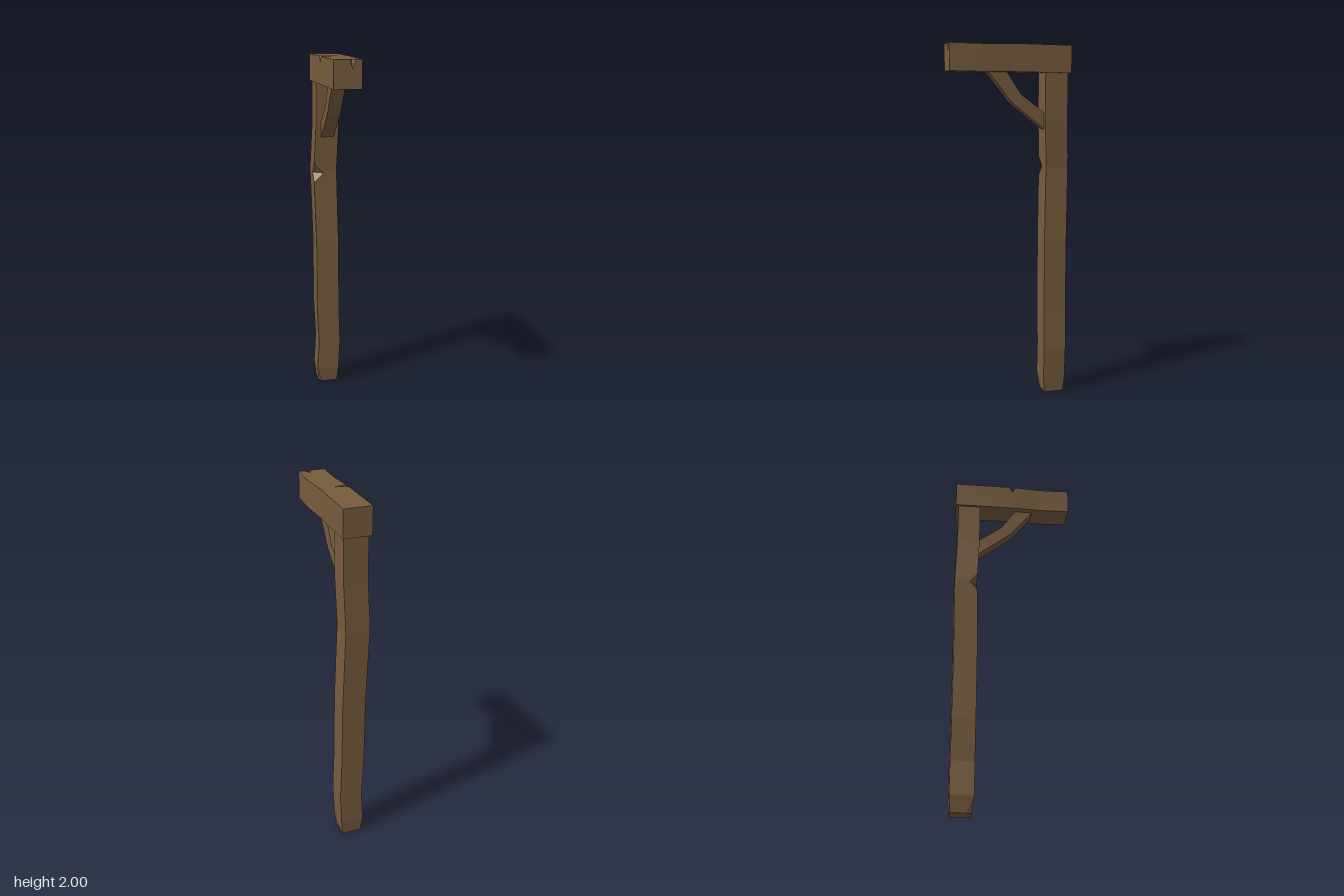
import * as THREE from 'three';

const wood = new THREE.MeshStandardMaterial({ color: 0x775c3d, flatShading: true, roughness: 1 });

// Skins a stack of rings. Each ring is { w, pts: [[u, v], ...] }, counterclockwise about the w axis.
function loft(rings, place) {
  const pos = [];
  const tri = (a, b, c) => {
    const [p, q, r] = [a, b, c].map((k) => new THREE.Vector3(...k));
    if (q.clone().sub(p).cross(r.clone().sub(p)).length() < 1e-8) return; // collapsed corner
    pos.push(...a, ...b, ...c);
  };
  const loops = rings.map(({ w, pts }) => pts.map(([u, v]) => place(u, v, w)));
  for (let i = 0; i < loops.length - 1; i++) {
    const lo = loops[i], hi = loops[i + 1], n = lo.length;
    for (let j = 0; j < n; j++) {
      const k = (j + 1) % n;
      tri(lo[j], lo[k], hi[k]);
      tri(lo[j], hi[k], hi[j]);
    }
  }
  // End caps
  [0, loops.length - 1].forEach((i) => {
    const flat = rings[i].pts.map(([u, v]) => new THREE.Vector2(u, v));
    for (const [a, b, c] of THREE.ShapeUtils.triangulateShape(flat, [])) {
      const l = loops[i];
      if (i === 0) tri(l[a], l[c], l[b]);
      else tri(l[a], l[b], l[c]);
    }
  });
  const geo = new THREE.BufferGeometry();
  geo.setAttribute('position', new THREE.Float32BufferAttribute(pos, 3));
  geo.computeVertexNormals();
  return geo;
}

// Post section; the front corner at -x splits in two where it is chipped by (dx, dz).
function postRing(y, x0, x1, z0, z1, dx = 0, dz = 0) {
  return { w: y, pts: [[z0, x0], [z1 - dz, x0], [z1, x0 + dx], [z1, x1], [z0, x1]] };
}

// Beam section; dx, dy chip the top edge at -x, and split opens a V in the top face.
function beamRing(z, x0, x1, y0, y1, dx = 0, dy = 0, split = 0) {
  const c = 0.025;
  return {
    w: z,
    pts: [[x0, y0], [x1, y0], [x1, y1],
      [c + split, y1], [c, y1 - split * 3.1], [c - split, y1],
      [x0 + dx, y1], [x0, y1 - dy]],
  };
}

export function createModel() {
  const group = new THREE.Group();
  const add = (name, geo) => {
    const mesh = new THREE.Mesh(geo, wood);
    mesh.name = name;
    group.add(mesh);
  };

  // Crooked post with a chipped foot and an axe notch
  add('post', loft([
    postRing(0, -0.055, 0.057, -0.318, -0.205, 0.015, 0.03),
    postRing(0.09, -0.066, 0.066, -0.325, -0.195),
    postRing(0.27, -0.055, 0.075, -0.325, -0.195),
    postRing(0.5, -0.066, 0.068, -0.325, -0.195),
    postRing(0.9, -0.067, 0.065, -0.326, -0.195),
    postRing(1.27, -0.078, 0.056, -0.333, -0.203),
    postRing(1.325, -0.08, 0.054, -0.334, -0.204, 0.058, 0.04),
    postRing(1.38, -0.078, 0.056, -0.333, -0.203),
    postRing(1.6, -0.067, 0.065, -0.326, -0.195),
    postRing(1.855, -0.065, 0.066, -0.325, -0.195),
  ], (z, x, y) => [x, y, z]));

  // Cross beam with a notched top edge and a split front end
  add('beam', loft([
    beamRing(-0.342, -0.077, 0.077, 1.846, 1.996),
    beamRing(-0.02, -0.076, 0.075, 1.85, 2),
    beamRing(0, -0.076, 0.075, 1.85, 2, 0.068, 0.035),
    beamRing(0.02, -0.076, 0.076, 1.85, 2),
    beamRing(0.17, -0.07, 0.08, 1.85, 1.997),
    beamRing(0.3, -0.072, 0.076, 1.852, 1.999),
    beamRing(0.344, -0.073, 0.074, 1.853, 2, 0, 0, 0.016),
  ], (x, y, z) => [x, y, z]));

  // Bent diagonal brace, drawn in the z-y plane and given its width along x
  const outline = [[0.022, 1.856], [-0.063, 1.73], [-0.205, 1.623],
    [-0.205, 1.531], [-0.01, 1.685], [0.127, 1.856]];
  const shape = new THREE.Shape(outline.map(([z, y]) => new THREE.Vector2(-z, y)));
  const brace = new THREE.ExtrudeGeometry(shape, { depth: 0.073, bevelEnabled: false });
  brace.rotateY(Math.PI / 2).translate(-0.037, 0, 0);
  add('brace', brace);

  return group;
}
